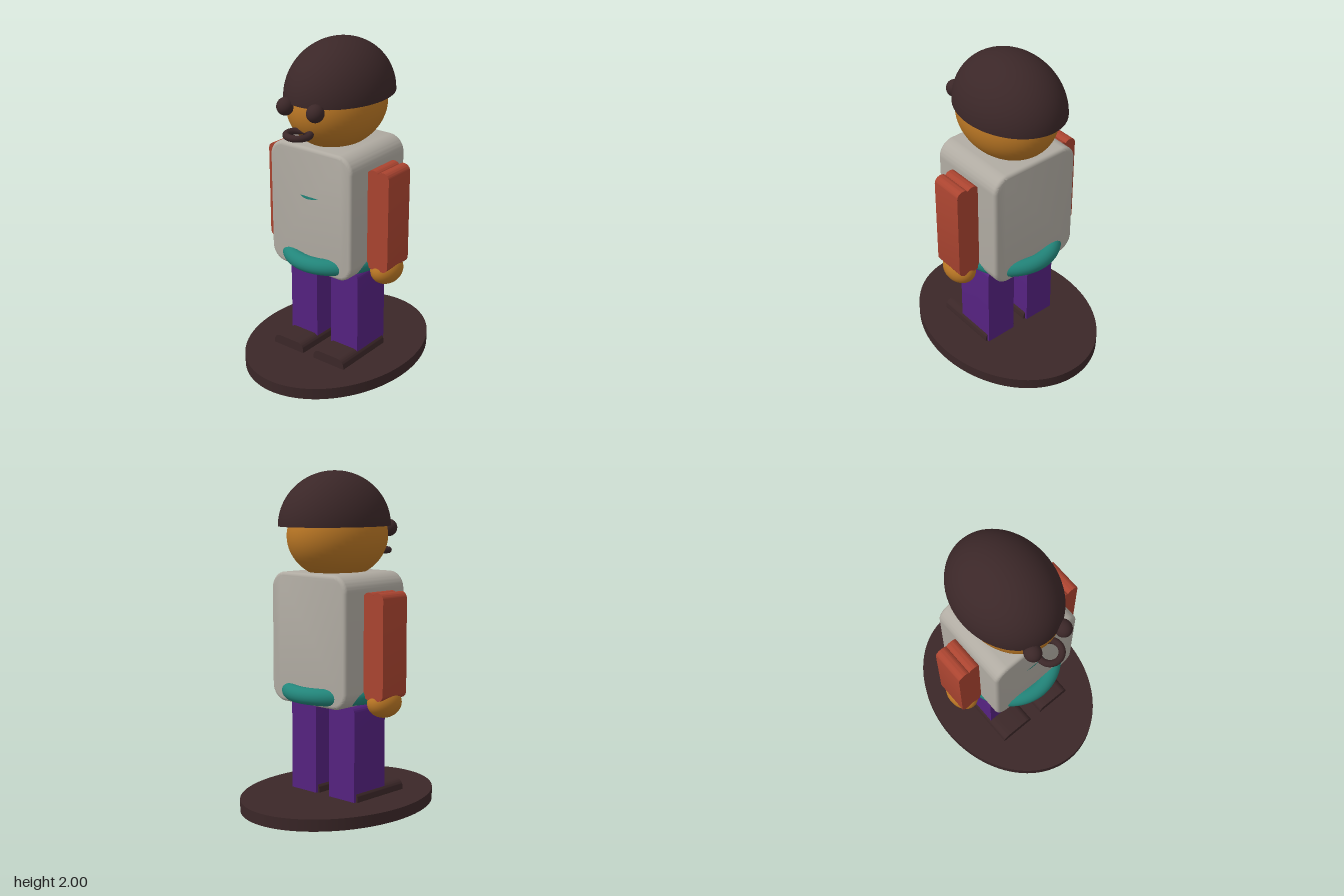
import * as THREE from 'three';
import { toCreasedNormals } from 'three/addons/utils/BufferGeometryUtils.js';

const paint = (name, color) => {
  const m = new THREE.MeshStandardMaterial({ color });
  m.name = name;
  return m;
};

// Rectangle in x/y with separately rounded top and bottom corners, extruded along z and centred
function slab(w, h, d, top, bottom, bevel = 0) {
  const x = w / 2, y = h / 2;
  const s = new THREE.Shape();
  s.moveTo(-x + bottom, -y);
  s.lineTo(x - bottom, -y);
  if (bottom) s.absarc(x - bottom, -y + bottom, bottom, -Math.PI / 2, 0);
  s.lineTo(x, y - top);
  if (top) s.absarc(x - top, y - top, top, 0, Math.PI / 2);
  s.lineTo(-x + top, y);
  if (top) s.absarc(-x + top, y - top, top, Math.PI / 2, Math.PI);
  s.lineTo(-x, -y + bottom);
  if (bottom) s.absarc(-x + bottom, -y + bottom, bottom, Math.PI, Math.PI * 1.5);
  const g = new THREE.ExtrudeGeometry(s, {
    depth: d - 2 * bevel, curveSegments: 10, bevelEnabled: bevel > 0,
    bevelSize: bevel, bevelThickness: bevel, bevelOffset: -bevel, bevelSegments: 4,
  });
  g.translate(0, 0, -d / 2 + bevel);
  return toCreasedNormals(g, 0.6);
}

const ellipsoid = (rx, ry, rz) => new THREE.SphereGeometry(1, 48, 32).scale(rx, ry, rz);

export function createModel() {
  const group = new THREE.Group();
  const brown = paint('dark brown', 0x3b2728);
  const skin = paint('ochre skin', 0xb97624);
  const grey = paint('warm grey', 0xb0aba2);
  const red = paint('brick red', 0xaa4430);
  const purple = paint('purple', 0x552280);
  const teal = paint('teal', 0x22857a);

  const add = (name, geometry, material, x, y, z) => {
    const mesh = new THREE.Mesh(geometry, material);
    mesh.name = name;
    mesh.position.set(x, y, z);
    group.add(mesh);
    return mesh;
  };

  // Oval stand
  add('base', new THREE.CylinderGeometry(1, 1, 0.07, 96).scale(0.515, 1, 0.652), brown, 0, 0.035, 0);

  // Torso and belt
  add('torso', slab(0.6, 0.775, 0.52, 0.1, 0.1, 0.022), grey, 0, 1.022, 0);
  const belt = new THREE.TorusGeometry(0.297, 0.05, 20, 80).rotateX(Math.PI / 2).scale(0.94, 1, 1);
  add('belt', belt, teal, 0, 0.7, 0);

  // Small flush sliver on the chest
  const sliver = new THREE.Shape();
  sliver.moveTo(-0.07, 0.012);
  sliver.quadraticCurveTo(0, 0.012, 0.06, 0.012);
  sliver.quadraticCurveTo(-0.04, -0.022, -0.07, 0.012);
  add('chestMark', new THREE.ShapeGeometry(sliver), teal, 0, 1.1, 0.261);

  // Limbs, mirrored
  for (const side of [1, -1]) {
    const label = side > 0 ? 'left' : 'right';
    add(label + 'Leg', slab(0.202, 0.575, 0.27, 0.045, 0), purple, side * 0.156, 0.357, 0);
    add(label + 'Shoe', slab(0.23, 0.07, 0.41, 0.045, 0), brown, side * 0.156, 0.095, 0.085);
    // Each sleeve is two rounded strips side by side
    add(label + 'SleeveInner', slab(0.084, 0.62, 0.208, 0.04, 0.04), red, side * 0.336, 1.0, 0);
    add(label + 'SleeveOuter', slab(0.084, 0.62, 0.208, 0.04, 0.04), red, side * 0.404, 1.0, 0);
    add(label + 'Hand', ellipsoid(0.088, 0.088, 0.116), skin, side * 0.37, 0.666, 0);
    add(label + 'Eye', ellipsoid(0.05, 0.052, 0.053), brown, side * 0.108, 1.66, 0.335);
  }

  // Head, mouth ring and hair cap
  add('head', ellipsoid(0.265, 0.258, 0.335), skin, 0, 1.62, 0);
  add('mouth', new THREE.TorusGeometry(0.068, 0.02, 16, 48).rotateX(Math.PI / 2), brown, 0, 1.52, 0.356);
  const dome = new THREE.SphereGeometry(1, 64, 24, 0, Math.PI * 2, 0, Math.PI / 2);
  add('hair', dome.scale(0.295, 0.322, 0.37), brown, 0, 1.678, -0.025);
  const rim = new THREE.CircleGeometry(1, 64).rotateX(Math.PI / 2).scale(0.295, 1, 0.37);
  add('hairUnderside', rim, brown, 0, 1.678, -0.025);

  return group;
}
